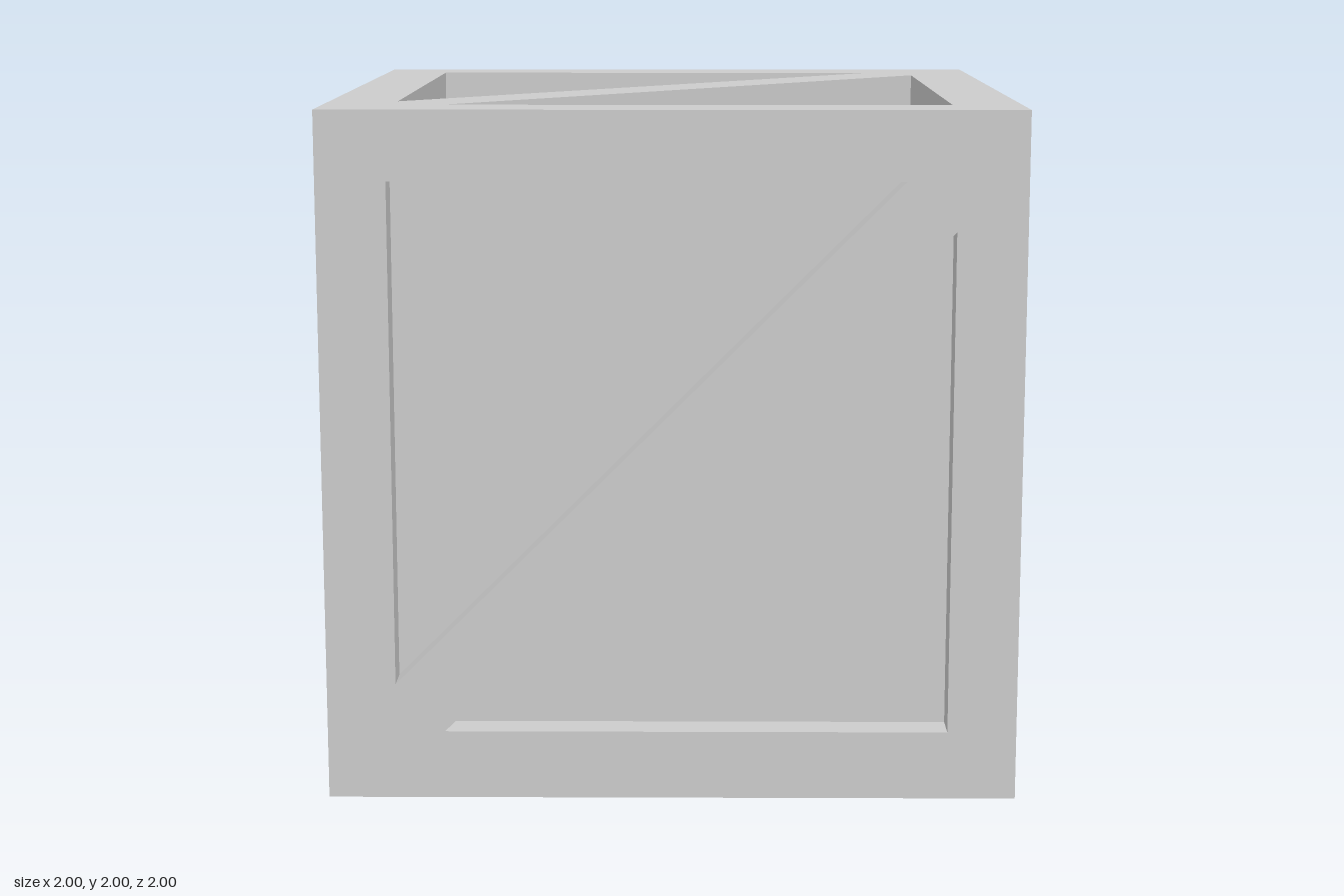
import * as THREE from 'three';

const HALF = 1;        // half the crate's side
const INNER = 0.8;     // half the opening inside the border
const DEPTH = 0.1;     // recess depth
const GAP = 0.1 * Math.SQRT2; // the brace's half width, measured along an axis

const polygon = (points, Type) => new Type(points.map(([x, y]) => new THREE.Vector2(x, y)));

// One side: square border with a diagonal brace, its outer rim mitred to meet its neighbours
function frameGeometry() {
  const shape = polygon([[-HALF, -HALF], [HALF, -HALF], [HALF, HALF], [-HALF, HALF]], THREE.Shape);
  for (const s of [1, -1]) {
    shape.holes.push(polygon([
      [-INNER * s, INNER * s],
      [(INNER - GAP) * s, INNER * s],
      [-INNER * s, (GAP - INNER) * s],
    ], THREE.Path));
  }
  const geometry = new THREE.ExtrudeGeometry(shape, { depth: DEPTH, bevelEnabled: false });
  geometry.translate(0, 0, HALF - DEPTH);

  // Pull the back of the rim inwards for a 45 degree mitre
  const p = geometry.attributes.position;
  for (let i = 0; i < p.count; i++) {
    if (p.getZ(i) > HALF - DEPTH / 2) continue;
    if (Math.abs(p.getX(i)) > 0.95) p.setX(i, p.getX(i) * (1 - DEPTH));
    if (Math.abs(p.getY(i)) > 0.95) p.setY(i, p.getY(i) * (1 - DEPTH));
  }
  geometry.computeVertexNormals();
  return geometry;
}

export function createModel() {
  const crate = new THREE.Group();
  crate.name = 'crate';
  const material = new THREE.MeshStandardMaterial({ color: 0xcccccc, flatShading: true });

  // Recessed panels: the faces of one inner box
  const core = 2 * (HALF - DEPTH);
  const panels = new THREE.Mesh(new THREE.BoxGeometry(core, core, core), material);
  panels.name = 'recessedPanels';
  panels.position.y = HALF;
  crate.add(panels);

  // Six braced frames; the bottom one is spun a quarter turn
  const q = Math.PI / 2;
  const sides = {
    front: [0, 0, 0],
    left: [0, q, 0],
    back: [0, 2 * q, 0],
    right: [0, -q, 0],
    top: [-q, 0, 0],
    bottom: [q, 0, q],
  };
  const frame = frameGeometry();
  for (const [side, rotation] of Object.entries(sides)) {
    const mesh = new THREE.Mesh(frame, material);
    mesh.name = side + 'Frame';
    mesh.rotation.set(...rotation);
    mesh.position.y = HALF;
    crate.add(mesh);
  }
  return crate;
}
